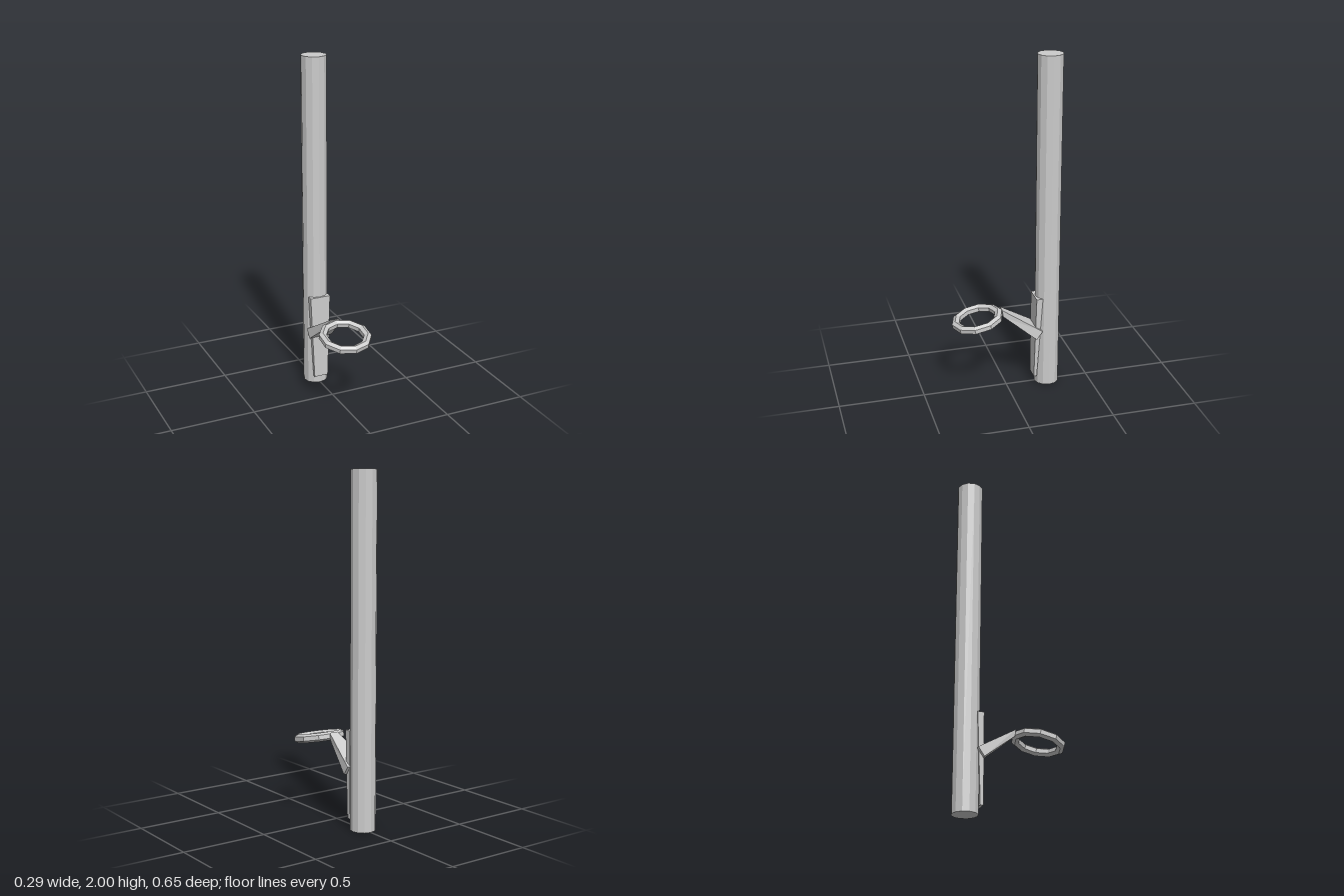
import * as THREE from 'three';

const material = new THREE.MeshStandardMaterial({ color: 0xcccccc, flatShading: true });

function addMesh(group, name, geometry) {
  const mesh = new THREE.Mesh(geometry, material);
  mesh.name = name;
  group.add(mesh);
  return mesh;
}

// Tapered block: each corner of the side profile is [z, y, halfWidth]
function taperedBlock({ topFront, topBack, bottomFront, bottomBack }) {
  const geometry = new THREE.BoxGeometry(2, 2, 2);
  const p = geometry.attributes.position;
  for (let i = 0; i < p.count; i++) {
    const front = p.getZ(i) > 0;
    const corner = p.getY(i) > 0 ? (front ? topFront : topBack) : (front ? bottomFront : bottomBack);
    p.setXYZ(i, p.getX(i) * corner[2], corner[1], corner[0]);
  }
  geometry.computeVertexNormals();
  return geometry;
}

export function createModel() {
  const group = new THREE.Group();

  // Upright rod
  const rod = addMesh(group, 'rod', new THREE.CylinderGeometry(0.073, 0.073, 2, 12));
  rod.position.set(0, 1, -0.248);

  // Foot plate lying along the rod, thinner and narrower towards the bottom
  addMesh(group, 'footPlate', taperedBlock({
    topFront: [-0.168, 0.565, 0.062],
    topBack: [-0.205, 0.565, 0.062],
    bottomFront: [-0.16, 0.05, 0.043],
    bottomBack: [-0.178, 0.05, 0.043],
  }));

  // Arm rising forward from the plate to the ring
  addMesh(group, 'arm', taperedBlock({
    topFront: [0.03, 0.505, 0.028],
    topBack: [-0.203, 0.36, 0.073],
    bottomFront: [0.025, 0.465, 0.028],
    bottomBack: [-0.168, 0.31, 0.073],
  }));

  // Ten-sided guide ring with a six-sided section, tipped forward
  const section = [];
  for (let i = 0; i <= 6; i++) {
    const a = (i - 0.5) * Math.PI / 3;
    section.push(new THREE.Vector2(0.13 + 0.025 * Math.cos(a), 0.025 * Math.sin(a)));
  }
  const ring = addMesh(group, 'guideRing', new THREE.LatheGeometry(section, 10));
  ring.position.set(0, 0.457, 0.173);
  ring.rotation.x = 0.2;

  return group;
}
